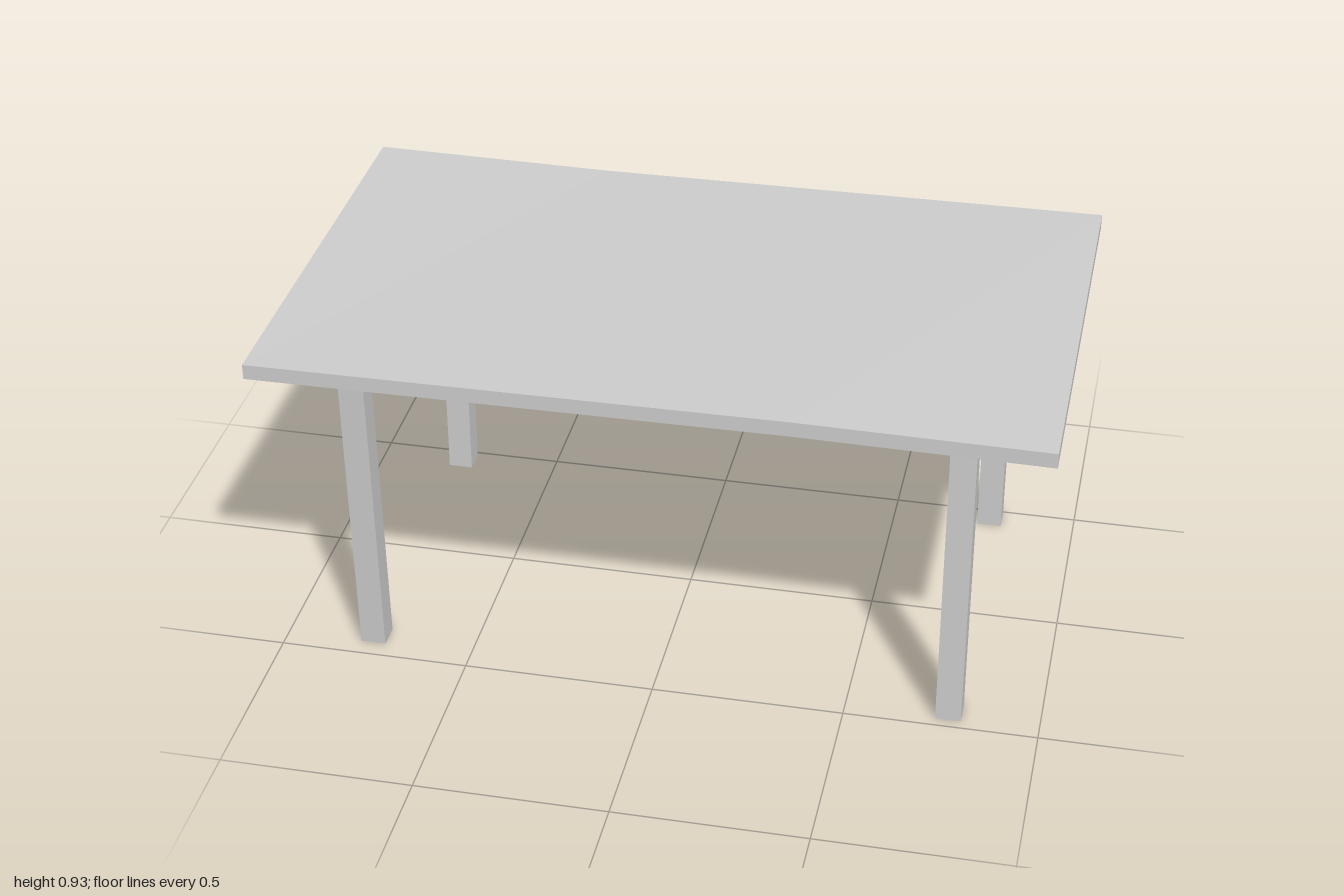
import * as THREE from 'three';

const material = new THREE.MeshStandardMaterial({ color: 0xcccccc, flatShading: true, side: THREE.DoubleSide });

function addMesh(group, geometry, name) {
  const flat = geometry.toNonIndexed();
  flat.computeVertexNormals();
  const mesh = new THREE.Mesh(flat, material);
  mesh.name = name;
  group.add(mesh);
}

// Slab whose front edge bows up and back edge sags, each with a single kink
function tableTop() {
  const g = new THREE.BoxGeometry(2, 0.04, 1.2, 3, 1, 1);
  g.translate(0, 0.9, 0);
  const p = g.attributes.position;
  for (let i = 0; i < p.count; i++) {
    let x = p.getX(i);
    if (Math.abs(x) < 0.9) x = Math.sign(x) * 0.36;
    const front = p.getZ(i) > 0;
    // distance from the kink to the end of the edge on this side
    const kink = front ? 0.36 : -0.36;
    const span = x > kink ? 1 - kink : 1 + kink;
    const lift = 1 - Math.abs(x - kink) / span;
    p.setX(i, x);
    p.setY(i, p.getY(i) + lift * (front ? 0.007 : -0.008));
  }
  return g;
}

// Square open tube leaning from its foot (y = 0) to its top
function leg(x, zFoot, zTop) {
  const width = 0.066, height = 0.882;
  const r = width / Math.SQRT2;
  const g = new THREE.CylinderGeometry(r, r, height, 4, 1, true, Math.PI / 4);
  g.translate(x, height / 2, 0);
  const p = g.attributes.position;
  for (let i = 0; i < p.count; i++) {
    p.setZ(i, p.getZ(i) + THREE.MathUtils.lerp(zFoot, zTop, p.getY(i) / height));
  }
  return g;
}

export function createModel() {
  const table = new THREE.Group();
  table.name = 'table';
  addMesh(table, tableTop(), 'tableTop');

  // name, x, z at foot, z at top
  const legs = [
    ['frontLeftLeg', 0.767, 0.439, 0.434],
    ['frontRightLeg', -0.767, 0.416, 0.453],
    ['backLeftLeg', 0.767, -0.461, -0.461],
    ['backRightLeg', -0.767, -0.453, -0.453],
  ];
  for (const [name, x, zFoot, zTop] of legs) addMesh(table, leg(x, zFoot, zTop), name);
  return table;
}
